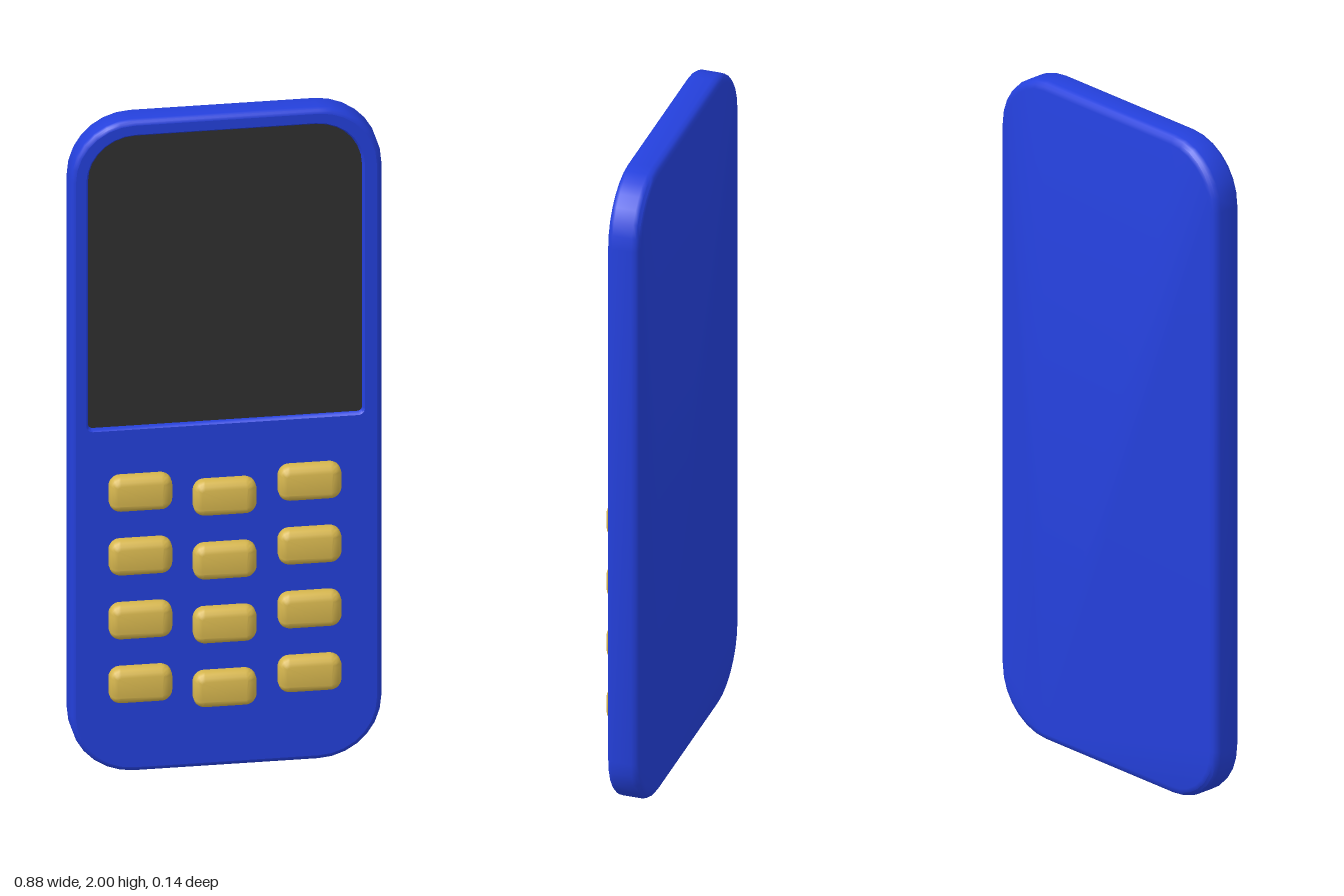
import * as THREE from 'three';
import { toCreasedNormals } from 'three/addons/utils/BufferGeometryUtils.js';

const blue = new THREE.MeshStandardMaterial({ color: 0x2440dc });
const charcoal = new THREE.MeshStandardMaterial({ color: 0x303030 });
const gold = new THREE.MeshStandardMaterial({ color: 0xd6b64e });
blue.name = 'body blue';
charcoal.name = 'screen charcoal';
gold.name = 'key gold';

// Counter-clockwise rounded rectangle, with separate bottom and top corner radii
function outline({ x0, x1, y0, y1, bottom, top }, inset = 0, steps = 7) {
  const points = [];
  const corners = [[x1, y0, -1, 1, bottom], [x1, y1, -1, -1, top], [x0, y1, 1, -1, top], [x0, y0, 1, 1, bottom]];
  corners.forEach(([x, y, sx, sy, radius], k) => {
    const r = Math.max(radius - inset, 0.002);
    const cx = x + sx * (r + inset), cy = y + sy * (r + inset);
    for (let i = 0; i <= steps; i++) {
      const a = (k - 1 + i / steps) * Math.PI / 2;
      points.push(new THREE.Vector2(cx + r * Math.cos(a), cy + r * Math.sin(a)));
    }
  });
  return points;
}

// Skin a stack of [z, inset] levels, optionally capping the first and last
function loft(rect, levels, capStart, capEnd) {
  const position = [], index = [];
  let n = 0;
  for (const [z, inset] of levels) {
    const ring = outline(rect, inset);
    n = ring.length;
    ring.forEach((p) => position.push(p.x, p.y, z));
  }
  for (let l = 0; l < levels.length - 1; l++) {
    for (let i = 0; i < n; i++) {
      const a = l * n + i, b = l * n + (i + 1) % n;
      index.push(a, b, b + n, a, b + n, a + n);
    }
  }
  const last = (levels.length - 1) * n;
  for (let i = 1; i < n - 1; i++) {
    if (capStart) index.push(0, i + 1, i);
    if (capEnd) index.push(last, last + i, last + i + 1);
  }
  const geometry = new THREE.BufferGeometry();
  geometry.setAttribute('position', new THREE.Float32BufferAttribute(position, 3));
  geometry.setIndex(index);
  return toCreasedNormals(geometry, 0.6);
}

export function createModel() {
  const group = new THREE.Group();
  const add = (name, geometry, material, parent = group) => {
    const mesh = new THREE.Mesh(geometry, material);
    mesh.name = name;
    parent.add(mesh);
    return mesh;
  };

  const bodyRect = { x0: -0.44, x1: 0.44, y0: 0, y1: 2, bottom: 0.18, top: 0.18 };
  const screenRect = { x0: -0.396, x1: 0.392, y0: 1.052, y1: 1.957, bottom: 0.02, top: 0.14 };
  const front = 0.022;

  // Case: rounded back edge, side wall and a tighter front edge
  add('bodyShell', loft(bodyRect, [
    [-0.072, 0.024], [-0.069, 0.012], [-0.062, 0.004], [-0.05, 0],
    [0.006, 0], [0.015, 0.003], [0.02, 0.008], [front, 0.015],
  ], true, false), blue);

  // Front face, open where the screen sits
  const face = new THREE.Shape(outline(bodyRect, 0.015));
  face.holes.push(new THREE.Path(outline(screenRect).reverse()));
  add('frontFace', new THREE.ShapeGeometry(face).translate(0, 0, front), blue);

  // Sloped lip leading down to the recessed screen
  add('screenLip', loft(screenRect, [[front, 0], [0.018, 0.004], [0.008, 0.007]], false, false), blue);
  add('screen', new THREE.ShapeGeometry(new THREE.Shape(outline(screenRect, 0.007)))
    .translate(0, 0, 0.008), charcoal);

  // Keypad: four rows of three pillow-edged keys, middle column set lower
  const keypad = new THREE.Group();
  keypad.name = 'keypad';
  group.add(keypad);
  const keyRect = { x0: -0.089, x1: 0.089, y0: -0.053, y1: 0.053, bottom: 0.032, top: 0.032 };
  const keyGeometry = loft(keyRect, [
    [0.015, 0.006], [0.03, 0], [0.048, 0], [0.058, 0.004], [0.066, 0.012], [0.07, 0.022],
  ], false, true);
  const columns = [[-0.246, 0], [-0.008, -0.029], [0.232, 0]];
  for (let row = 0; row < 4; row++) {
    columns.forEach(([x, drop], column) => {
      const key = add(`key${row * 3 + column + 1}`, keyGeometry, gold, keypad);
      key.position.set(x, 0.868 - row * 0.196 + drop, 0);
    });
  }
  return group;
}
